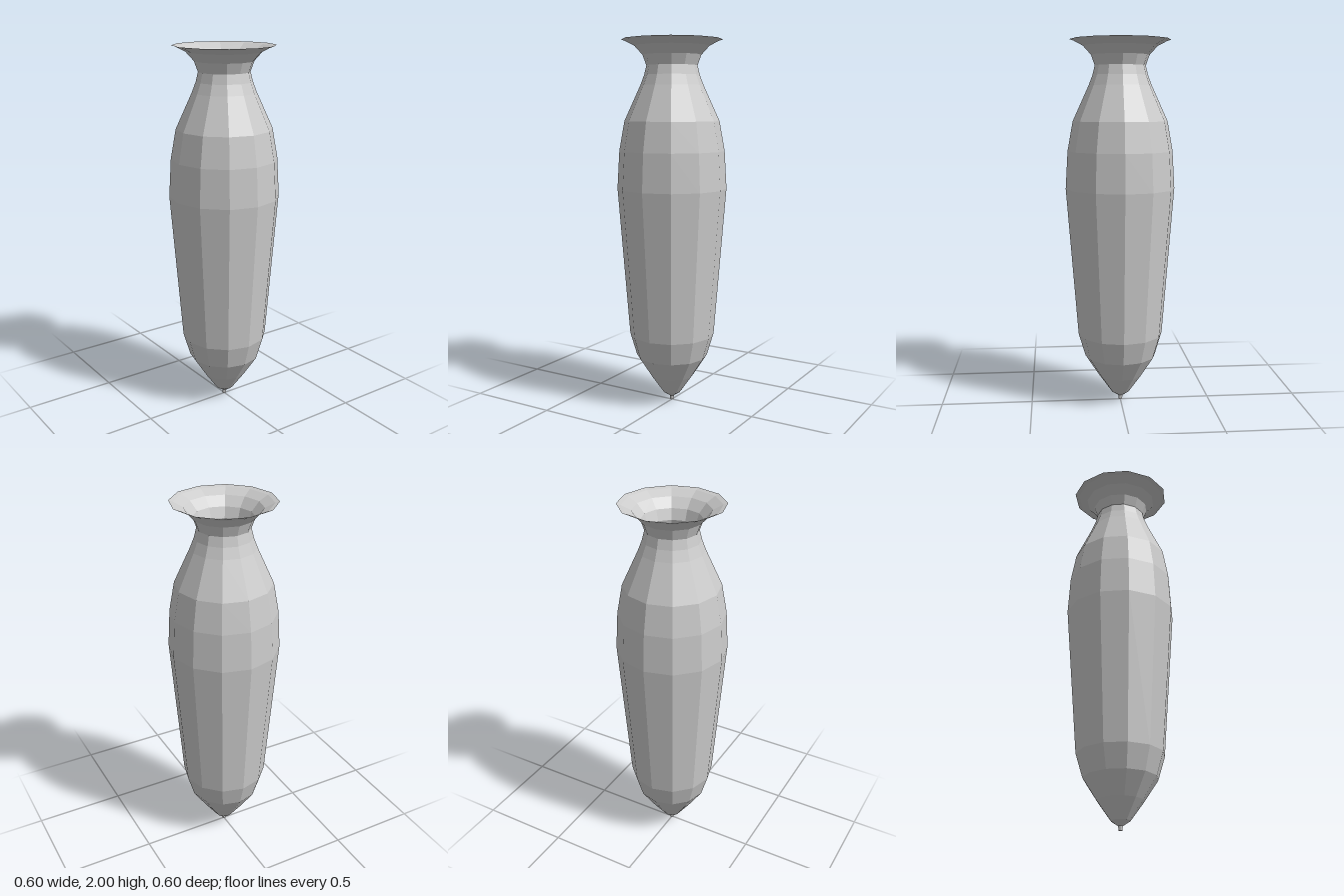
import * as THREE from 'three';

// Profile from the pointed foot up to the flared rim: [radius, height]
const PROFILE = [
  [0, 0], [0.01, 0.002], [0.012, 0.025], [0.05, 0.05], [0.122, 0.15],
  [0.197, 0.265], [0.234, 0.39], [0.298, 1.205], [0.286, 1.41], [0.257, 1.57],
  [0.17, 1.76], [0.149, 1.815], [0.137, 1.865], [0.157, 1.92], [0.2, 1.967],
  [0.25, 1.993], [0.272, 2],
];

export function createModel() {
  const group = new THREE.Group();
  group.name = 'vase';

  // Thin-walled twelve-sided body, open at the mouth
  const points = PROFILE.map(([r, y]) => new THREE.Vector2(r, y));
  const body = new THREE.Mesh(
    new THREE.LatheGeometry(points, 12),
    new THREE.MeshStandardMaterial({
      color: 0xcccccc,
      flatShading: true,
      side: THREE.DoubleSide,
    }),
  );
  body.name = 'vaseBody';
  group.add(body);

  return group;
}
